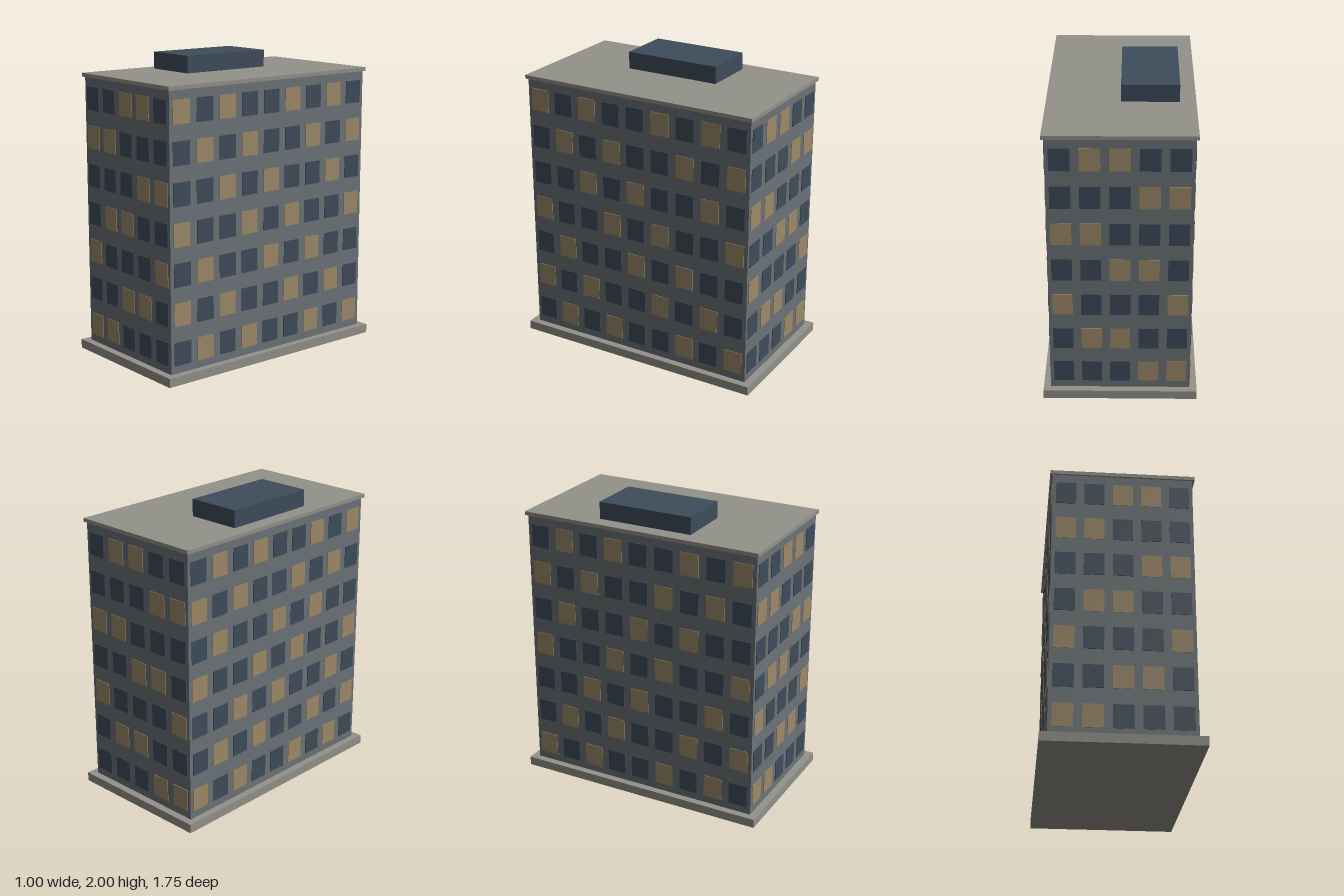
import * as THREE from 'three';

const material = (name, color) => {
  const m = new THREE.MeshStandardMaterial({ color });
  m.name = name;
  return m;
};

export function createModel() {
  const wall = material('wall grey', 0x6c7377);
  const stone = material('stone trim', 0x93918a);
  const darkGlass = material('dark blue glass', 0x3e4c5b);
  const litGlass = material('lit window', 0x9e8a68);

  const model = new THREE.Group();
  model.name = 'apartmentBlock';

  // Box given by its size, its bottom height and its centre on the ground plan
  function block(name, mat, w, h, d, bottom, x = 0, z = 0, parent = model) {
    const mesh = new THREE.Mesh(new THREE.BoxGeometry(w, h, d), mat);
    mesh.name = name;
    mesh.position.set(x, bottom + h / 2, z);
    parent.add(mesh);
  }

  // Main masses
  const halfW = 0.455, halfD = 0.823;
  block('plinth', stone, 1.005, 0.06, 1.745, 0);
  block('tower', wall, halfW * 2, 1.803, halfD * 2, 0.06);
  block('roofSlab', stone, 0.943, 0.025, 1.672, 1.861);
  block('roofPlantRoom', darkGlass, 0.368, 0.114, 0.655, 1.886, -0.184, 0);

  // Windows: seven floors, five across each end and nine along each side
  const windows = new THREE.Group();
  windows.name = 'windows';
  model.add(windows);
  const floors = 7, pitch = 0.183, winW = 0.13, winH = 0.152, thick = 0.008;

  for (let floor = 0; floor < floors; floor++) {
    const sill = 0.111 + floor * 0.2563;
    for (const side of [-1, 1]) {
      for (let i = 0; i < 5; i++) {
        const lit = (i + 3 * floor) % 5 < 2;
        block(side > 0 ? 'frontWindow' : 'backWindow', lit ? litGlass : darkGlass,
          winW, winH, thick, sill, (i - 2) * pitch, side * halfD, windows);
      }
      for (let i = 0; i < 9; i++) {
        const lit = (3 * i + 2 * floor) % 5 < 2;
        block(side > 0 ? 'leftWindow' : 'rightWindow', lit ? litGlass : darkGlass,
          thick, winH, winW, sill, side * halfW, (i - 4) * pitch, windows);
      }
    }
  }
  return model;
}
